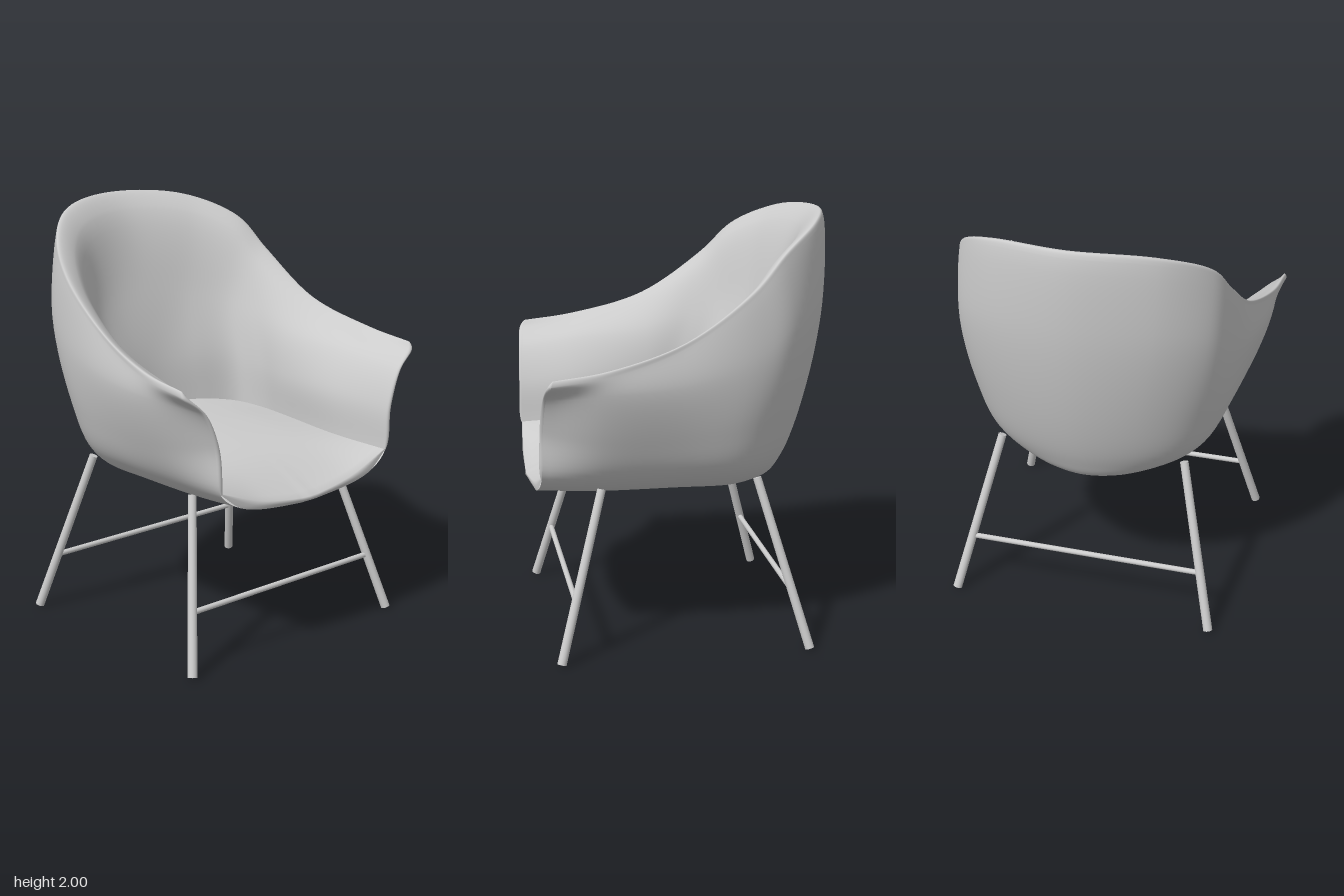
import * as THREE from 'three';
import { mergeVertices } from 'three/addons/utils/BufferGeometryUtils.js';

const material = new THREE.MeshStandardMaterial({ color: 0xcccccc, side: THREE.DoubleSide });
const vec = (p) => new THREE.Vector3(...p);

// Each level runs from the front of the left arm to the middle of the back.
const rim = [[.718, 1.352, .65], [.71, 1.385, .40], [.66, 1.49, .05], [.63, 1.70, -.255], [.572, 1.853, -.405], [.37, 1.965, -.59], [0, 2, -.695]];
const outerHigh = [[.63, 1.24, .675], [.71, 1.27, .42], [.685, 1.29, .05], [.637, 1.38, -.30], [.57, 1.50, -.465], [.36, 1.56, -.625], [0, 1.58, -.712]];
const outerMid = [[.56, 1.07, .685], [.635, 1.04, .42], [.625, 1.03, .05], [.59, 1.07, -.27], [.488, 1.10, -.44], [.285, 1.13, -.572], [0, 1.14, -.632]];
const outerLow = [[.53, .86, .69], [.54, .85, .42], [.54, .85, .05], [.51, .85, -.24], [.405, .84, -.38], [.235, .84, -.482], [0, .83, -.525]];
const under = [[.40, .77, .70], [.39, .75, .42], [.39, .748, .05], [.37, .742, -.20], [.285, .735, -.315], [.17, .73, -.41], [0, .725, -.45]];
const innerHigh = [[.60, 1.23, .675], [.555, 1.28, .42], [.50, 1.32, .05], [.48, 1.42, -.19], [.415, 1.47, -.32], [.25, 1.52, -.415], [0, 1.54, -.445]];
const innerMid = [[.534, 1.065, .685], [.465, 1.10, .40], [.455, 1.12, .05], [.45, 1.15, -.11], [.395, 1.18, -.24], [.20, 1.20, -.315], [0, 1.20, -.34]];
const seatEdge = [[.52, .862, .69], [.458, .89, .42], [.46, .915, .05], [.452, .925, -.09], [.388, .945, -.21], [.20, .975, -.275], [0, .985, -.295]];
const underSpine = [.70, .42, .05, -.10, -.15, -.18, -.20].map((z) => [0, .72, z]);
const seatSpine = [[.72, .748], [.42, .885], [.05, .945], [-.05, .953], [-.10, .957], [-.13, .96], [-.15, .962]].map(([z, y]) => [0, y, z]);

// Rounded rim either side of the crest: slim at the arm tips, fuller over the back
const rimOuter = rim.map(([x, y, z]) => [x * 1.01, y - .03, z + (z < 0 ? z * .025 : .01)]);
const rimInner = rim.map(([x, y, z], k) => {
  const h = Math.max(0, (y - 1.36) / .64);
  const s = (k ? .055 + .04 * h : .02) / Math.hypot(x, Math.min(z, 0));
  return [x * (1 - s), y - .027 - .06 * h, z - Math.min(z, 0) * s + (k ? 0 : .01)];
});

// Level between an edge and its spine, curving so that it lies flat at the spine
const between = (edge, spine, t) => edge.map((p, k) => {
  const q = spine[k];
  return [p[0] * t, q[1] + (p[1] - q[1]) * t * t, q[2] + (p[2] - q[2]) * t];
});

// Mirror a level to the other arm and make one smooth curve
function levelCurve(half) {
  const other = half.slice(0, -1).reverse().map(([x, y, z]) => [-x, y, z]);
  return new THREE.CatmullRomCurve3([...half, ...other].map(vec));
}

// Columns of points, each running through all the levels, 8 rows per level
function loft(levels, columns) {
  const curves = levels.map(levelCurve);
  return Array.from({ length: columns + 1 }, (_, i) =>
    new THREE.CatmullRomCurve3(curves.map((c) => c.getPoint(i / columns))).getPoints(8 * (levels.length - 1)));
}

function surface(name, columns) {
  const n = columns[0].length, index = [];
  for (let i = 0; i < columns.length - 1; i++) {
    for (let j = 0; j < n - 1; j++) {
      const a = i * n + j, b = a + n;
      index.push(a, b, a + 1, b, b + 1, a + 1);
    }
  }
  let geometry = new THREE.BufferGeometry().setFromPoints(columns.flat());
  geometry.setIndex(index);
  geometry = mergeVertices(geometry, 1e-4);
  geometry.computeVertexNormals();
  const mesh = new THREE.Mesh(geometry, material);
  mesh.name = name;
  return mesh;
}

// Half-round front of an arm, between the outer and inner wall of an end column
function armFront(name, column, lowest) {
  const steps = 8, end = column.length - 1 + lowest;
  const strips = Array.from({ length: steps + 1 }, (_, i) => {
    const a = Math.PI * i / steps, points = [];
    for (let j = lowest; j <= end / 2; j++) {
      const p = column[j], q = column[end - j];
      const point = p.clone().lerp(q, (1 - Math.cos(a)) / 2);
      point.z += Math.sin(a) * p.distanceTo(q) / 2;
      points.push(point);
    }
    return points;
  });
  return surface(name, column[lowest].x > 0 ? strips.reverse() : strips);
}

function rod(name, from, to, r0, r1) {
  const a = vec(from), b = vec(to);
  const mesh = new THREE.Mesh(new THREE.CylinderGeometry(r1, r0, a.distanceTo(b), 20), material);
  mesh.position.copy(a).lerp(b, .5);
  mesh.quaternion.setFromUnitVectors(new THREE.Vector3(0, 1, 0), b.sub(a).normalize());
  mesh.name = name;
  return mesh;
}

export function createModel() {
  const chair = new THREE.Group();
  chair.name = 'armchair';

  // Wraparound shell: underside, outer wall, rim and inner wall
  const underNear = between(under, underSpine, .15);
  const shell = loft([underSpine, underNear, under, outerLow, outerMid, outerHigh,
    rimOuter, rim, rimInner, innerHigh, innerMid, seatEdge], 96);
  chair.add(surface('shell', shell));
  chair.add(armFront('leftArmFront', shell[0], 24), armFront('rightArmFront', shell[96], 24));

  // Seat, with a rounded lip that closes the front down to the underside
  const seat = loft([seatEdge, between(seatEdge, seatSpine, .55), between(seatEdge, seatSpine, .12), seatSpine], 96);
  const bottom = loft([outerLow, under, underNear, underSpine], 1);
  const lip = (top, low) => top.map((p, j) => {
    const q = p.clone().lerp(low[j], .5);
    q.z += .012 * j / (top.length - 1);
    return q;
  });
  chair.add(surface('seat', [bottom[0], lip(seat[0], bottom[0]), ...seat, lip(seat[96], bottom[1]), bottom[1]]));

  // Splayed legs and the crossbars joining each pair
  for (const [end, footZ, topZ, topY] of [['front', .625, .41, .775], ['back', -.54, -.32, .795]]) {
    for (const [side, s] of [['Left', 1], ['Right', -1]]) {
      chair.add(rod(`${end}${side}Leg`, [s * .637, .005, footZ], [s * .45, topY, topZ], .022, .02));
    }
    const t = .277 / topY, x = .637 - .187 * t, z = footZ + (topZ - footZ) * t;
    chair.add(rod(`${end}Crossbar`, [-x, .277, z], [x, .277, z], .013, .013));
  }
  return chair;
}
